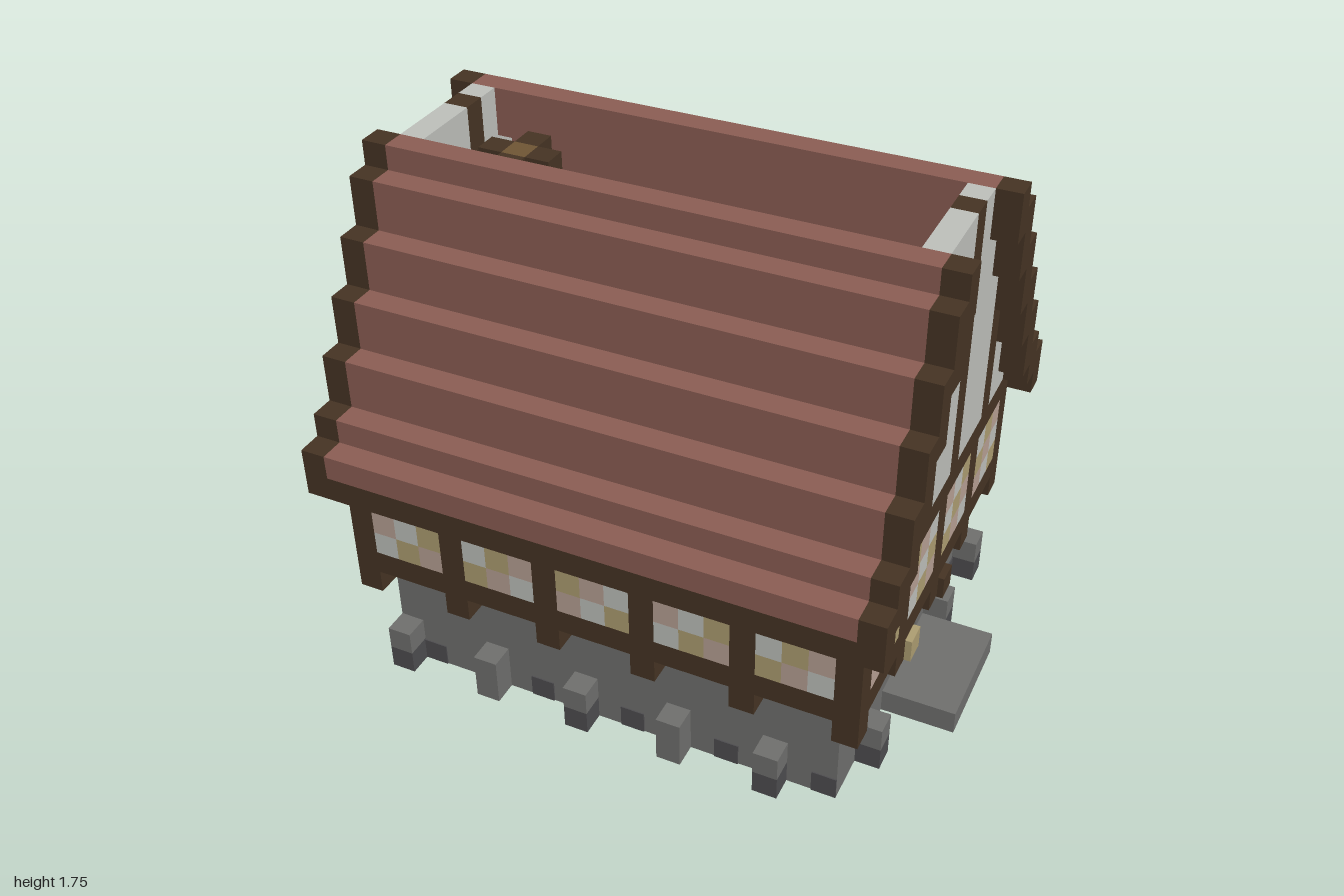
import * as THREE from 'three';
import { mergeGeometries } from 'three/addons/utils/BufferGeometryUtils.js';

const U = 1 / 12; // one block

const mat = (name, color) => Object.assign(new THREE.MeshStandardMaterial({ color }), { name });
const M = {
  roof: mat('roof red', 0x8c5e54),
  timber: mat('dark timber', 0x463424),
  plaster: mat('plaster white', 0xbfc1bc),
  stone: mat('stone grey', 0x70706e),
  darkStone: mat('dark stone', 0x4e4d50),
  tan: mat('tan', 0xae9e72),
  pink: mat('pale pink', 0xb8a195),
  plank: mat('plank brown', 0x705635),
};

// Box from its limits in block units
function box(x0, x1, y0, y1, z0, z1) {
  const g = new THREE.BoxGeometry((x1 - x0) * U, (y1 - y0) * U, (z1 - z0) * U);
  return g.translate((x0 + x1) / 2 * U, (y0 + y1) / 2 * U, (z0 + z1) / 2 * U);
}

export function createModel() {
  const house = new THREE.Group();
  house.name = 'timberHouse';
  const part = (name, material, boxes) => {
    const mesh = new THREE.Mesh(mergeGeometries(boxes.map(b => box(...b))), material);
    mesh.name = name;
    house.add(mesh);
  };

  // Stone ground floor with a doorway on the +x side
  part('stoneWalls', M.stone, [
    [-10, 9, 0, 5, 6.5, 7.5], [-10, 9, 0, 5, -7.5, -6.5], [-10, -9, 0, 5, -6.5, 6.5],
    [8, 9, 0, 5, 1.5, 6.5], [8, 9, 0, 5, -6.5, -1.5],
    [8, 9, 4, 5, -1.5, 1.5], [8, 9, 0, 1, -1.5, 1.5],
  ]);
  part('doorStep', M.stone, [[9, 12, 0, 1, -2.5, 2.5]]);
  part('groundFloor', M.plank, [[-9, 8, 0.05, 1, -6.5, 6.5]]);

  // Short buttresses: grey top block, darker foot on most of them
  const tops = [], feet = [];
  const buttress = (x, z, dark) => {
    tops.push([x, x + 1, dark ? 1 : 0, 2, z, z + 1]);
    if (dark) feet.push([x, x + 1, 0, 1, z, z + 1]);
  };
  [-10, -6, -2, 2, 6].forEach((x, i) => {
    buttress(x, 7.5, i % 2 === 0);
    buttress(x, -8.5, i % 2 === 0);
  });
  [4.5, 0.5, -3.5, -7.5].forEach(z => {
    buttress(-11, z, true);
    if (z !== 0.5) buttress(9, z, true);
  });
  part('buttressTops', M.stone, tops);
  part('buttressFeet', M.darkStone, feet);

  // Dark stones set in the base of the wall
  const spots = [];
  for (const x of [-9, -4, 0, 4, 8]) {
    spots.push([x, x + 1, 0, 0.95, 7.5, 7.55], [x, x + 1, 0, 0.95, -7.55, -7.5]);
  }
  for (const z of [3.5, -5.5, -6.5]) {
    spots.push([9, 9.05, 0, 0.95, z, z + 1], [-10.05, -10, 0, 0.95, z, z + 1]);
  }
  part('darkWallStones', M.darkStone, spots);

  // Upper-floor beams and posts
  const frame = [];
  for (const [y0, y1] of [[5, 6], [9, 10]]) {
    frame.push([-11, 10, y0, y1, 7.5, 8.5], [-11, 10, y0, y1, -8.5, -7.5],
      [-11, -10, y0, y1, -7.5, 7.5], [9, 10, y0, y1, -7.5, 7.5]);
  }
  const addPost = (x, z) => frame.push([x, x + 1, 4, 5, z, z + 1], [x, x + 1, 6, 9, z, z + 1]);
  for (const z of [7.5, -8.5]) for (let x = -11; x <= 9; x += 4) addPost(x, z);
  for (const x of [-11, 9]) for (const z of [-4.5, -0.5, 3.5]) addPost(x, z);
  part('timberFrame', M.timber, frame);

  // Stained windows: diagonal bands of three colours
  const panes = [[], [], []];
  const pane = (i, y, b) => panes[(((i - y) % 3) + 3) % 3].push(b);
  for (let y = 6; y < 9; y++) {
    for (let x = -10; x < 9; x++) {
      if ((x + 11) % 4 === 0) continue;
      for (const z of [7.5, -8.5]) pane(x + 1, y, [x, x + 1, y, y + 1, z, z + 1]);
    }
    for (let z = -7.5; z < 7.5; z++) {
      if ((z + 8.5) % 4 === 0) continue;
      for (const x of [-11, 9]) pane(-z - 0.5, y, [x, x + 1, y, y + 1, z, z + 1]);
    }
  }
  ['whitePanes', 'tanPanes', 'pinkPanes'].forEach((n, i) =>
    part(n, [M.plaster, M.tan, M.pink][i], panes[i]));

  // Stepped roof: [inner z, bottom, top] for each column of blocks
  const steps = [[8.5, 10, 11], [7.5, 10, 12], [6.5, 11, 14], [5.5, 13, 16],
    [4.5, 15, 18], [3.5, 17, 20], [2.5, 19, 21]];
  const tiles = [], trim = [], plaster = [], studs = [];
  for (const side of [1, -1]) {
    const span = z => side > 0 ? [z, z + 1] : [-z - 1, -z];
    trim.push([-12, 11, 9, 10, ...span(8.5)]);
    for (const [z, y0, y1] of steps) {
      tiles.push([-11, 10, y0, y1, ...span(z)]);
      for (const x of [-12, 10]) trim.push([x, x + 1, y0, y1, ...span(z)]);
    }
  }
  part('roofTiles', M.roof, tiles);
  part('roofTrim', M.timber, trim);

  // Plaster gables with a stud every fourth block
  for (let z = -7; z <= 7; z++) {
    const step = steps.find(s => s[0] === Math.abs(z) - 0.5);
    const top = step ? step[1] : 21;
    for (const x of [-11, 9]) {
      ((z + 9) % 4 === 0 ? studs : plaster).push([x, x + 1, 10, top, z - 0.5, z + 0.5]);
    }
  }
  part('gablePlaster', M.plaster, plaster);
  part('gableStuds', M.timber, studs);

  // Attic floor with diagonal dark inlay
  part('atticFloor', M.plank, [[-10, 9, 9, 10, -7.5, 7.5]]);
  const inlay = [];
  for (let x = -10; x < 9; x++) for (let z = -6; z <= 6; z++) {
    if ((x + z + 28) % 5 === 0) inlay.push([x, x + 1, 10, 10.06, z - 0.5, z + 0.5]);
  }
  part('floorInlay', M.timber, inlay);
  part('atticSteps', M.plank, [0, 1, 2].map(i => [4 + i, 5 + i, 10, 11 + i, -2.5, -1.5]));

  // Hanging cross-shaped light under the open ridge
  part('hangingLightArms', M.timber, [
    [-9, -8, 19, 20, -0.5, 0.5], [-7, -6, 19, 20, -0.5, 0.5],
    [-8, -7, 19, 20, 0.5, 1.5], [-8, -7, 19, 20, -1.5, -0.5],
  ]);
  part('hangingLightCore', M.plank, [[-8, -7, 18, 20, -0.5, 0.5]]);

  // Door lanterns and the furniture seen through the doorway
  part('doorLantern', M.tan, [[9, 10, 3, 4, 1.5, 2.5]]);
  part('doorBracket', M.timber, [[9, 10, 3, 4, -2.5, -1.5]]);
  part('table', M.plank, [[2, 5, 1, 2, -1.5, 1.5]]);
  part('stools', M.tan, [[3, 4, 2, 3, 0.5, 1.5], [3, 4, 2, 3, -1.5, -0.5]]);
  part('redSeatBack', M.roof, [[3, 4, 2, 4, -0.5, 0.5]]);

  return house;
}
